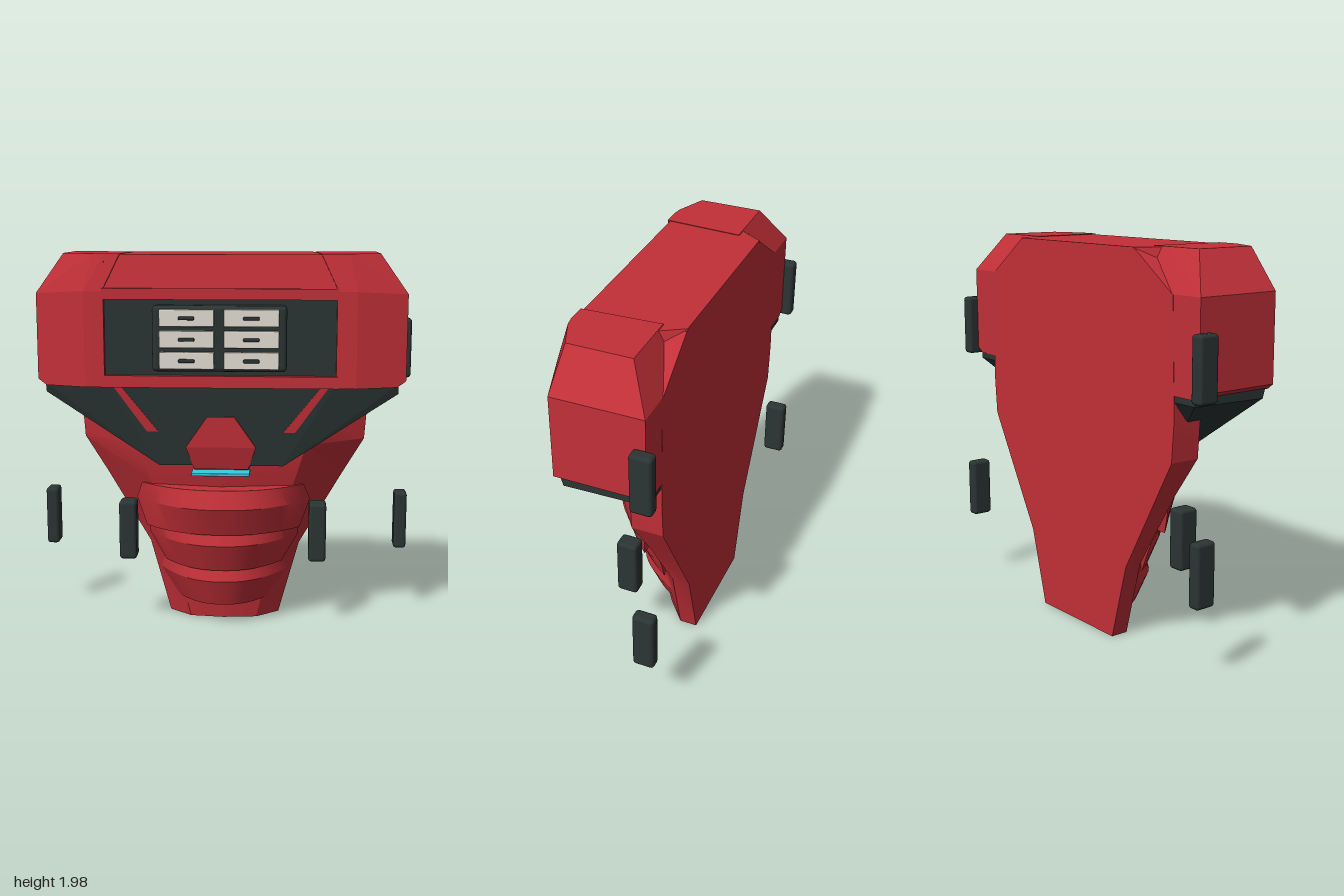
import * as THREE from 'three';
import { ConvexGeometry } from 'three/addons/geometries/ConvexGeometry.js';
import { RoundedBoxGeometry } from 'three/addons/geometries/RoundedBoxGeometry.js';
import { toCreasedNormals } from 'three/addons/utils/BufferGeometryUtils.js';

const material = (name, color) => {
  const m = new THREE.MeshStandardMaterial({ color });
  m.name = name;
  return m;
};

// Joins closed rings of [x, y, z] points, listed bottom to top, and caps both ends
function loft(rings) {
  const out = [];
  const n = rings[0].length;
  const tri = (a, b, c) => out.push(...a, ...b, ...c);
  for (let k = 0; k + 1 < rings.length; k++) {
    for (let i = 0; i < n; i++) {
      const j = (i + 1) % n;
      const a = rings[k][i], b = rings[k][j], c = rings[k + 1][j], d = rings[k + 1][i];
      tri(a, d, c);
      tri(a, c, b);
    }
  }
  const lo = rings[0], hi = rings[rings.length - 1];
  for (let i = 1; i + 1 < n; i++) {
    tri(lo[0], lo[i], lo[i + 1]);
    tri(hi[0], hi[i + 1], hi[i]);
  }
  const g = new THREE.BufferGeometry();
  g.setAttribute('position', new THREE.Float32BufferAttribute(out, 3));
  return toCreasedNormals(g, 0.35);
}

const hull = (pts) => new ConvexGeometry(pts.map((p) => new THREE.Vector3(...p)));
const mirrored = (pts) => pts.concat(pts.map(([x, y, z]) => [-x, y, z]));

export function createModel() {
  const model = new THREE.Group();
  model.name = 'armouredTorso';
  const red = material('red', 0xc23038);
  const dark = material('charcoal', 0x2b3434);
  const cream = material('cream', 0xe3ddd2);
  const cyan = material('cyan', 0x38cce2);

  const add = (name, geometry, mat) => {
    const mesh = new THREE.Mesh(geometry, mat);
    mesh.name = name;
    model.add(mesh);
    return mesh;
  };
  // Box given by its low and high corners, rounded when r is set
  const box = (name, mat, [x0, y0, z0], [x1, y1, z1], r = 0) => {
    const size = [x1 - x0, y1 - y0, z1 - z0];
    const g = r ? new RoundedBoxGeometry(...size, 2, r) : new THREE.BoxGeometry(...size);
    add(name, g, mat).position.set((x0 + x1) / 2, (y0 + y1) / 2, (z0 + z1) / 2);
  };

  // Tapering body: y, back half width, side depth, front half width, its z, centre z
  const body = [
    [0, 0.3, -0.2, 0.18, -0.1, -0.08],
    [0.4, 0.41, -0.2, 0.27, -0.06, 0.01],
    [0.8, 0.637, -0.17, 0.38, 0.04, 0.1],
    [1.0, 0.75, -0.13, 0.44, 0.09, 0.14],
    [1.2, 0.765, -0.13, 0.45, 0.09, 0.155],
    [1.78, 0.75, -0.13, 0.45, 0.12, 0.155],
    [1.97, 0.48, -0.13, 0.4, 0.12, 0.155],
  ];
  add('body', loft(body.map(([y, w, s, f, zf, zc]) => [
    [w, y, -0.293], [w, y, s], [f, y, zf], [0, y, zc], [-f, y, zf], [-w, y, s], [-w, y, -0.293],
  ])), red);

  // Curved belly bands: rows of y, half width, centre z, end z
  const bands = [
    [[0.53, 0.41, 0.16, -0.04], [0.68, 0.465, 0.225, -0.065], [0.775, 0.43, 0.19, 0.0]],
    [[0.32, 0.315, 0.1, -0.11], [0.47, 0.405, 0.165, -0.135], [0.565, 0.4, 0.13, -0.09]],
    [[0.115, 0.265, 0.05, -0.165], [0.26, 0.35, 0.11, -0.18], [0.355, 0.315, 0.075, -0.12]],
  ];
  for (const rows of bands) {
    add('bellyBand', loft(rows.map(([y, w, front, end]) =>
      Array.from({ length: 33 }, (_, i) => {
        const t = 1 - i / 16;
        return [w * t, y, front - (front - end) * Math.abs(t) ** 2.3];
      }))), red);
  }

  // Dark V-shaped collar under the chest
  add('chestCollar', hull(mirrored([
    [0.9, 1.33, -0.288], [0.9, 1.29, -0.288], [0.78, 1.2, -0.22], [0.78, 1.2, -0.13],
    [0.9, 1.33, 0.155], [0.9, 1.28, 0.14], [0.58, 1.33, 0.192],
    [0.32, 0.9, 0.145], [0.47, 1.0, 0.13], [0.32, 0.9, 0.125],
  ])), dark);

  // Red breastplate point on the collar
  add('breastPoint', hull(mirrored([
    [0.07, 1.16, 0.183], [0.18, 1.0, 0.173], [0.14, 0.88, 0.14],
    [0.07, 1.16, 0.1], [0.18, 1.0, 0.08], [0.14, 0.86, 0.08],
  ])), red);

  // Chest recess with its rails and sloping top block
  box('chestRecess', dark, [-0.59, 1.33, 0.1], [0.59, 1.82, 0.228]);
  box('upperRail', red, [-0.59, 1.76, 0.1], [0.59, 1.815, 0.261]);
  box('lowerRail', red, [-0.59, 1.32, 0.1], [0.59, 1.38, 0.261]);
  add('topBlock', hull(mirrored([
    [0.59, 1.8, 0.246], [0.54, 1.98, 0.205], [0.59, 1.8, -0.18], [0.54, 1.98, -0.18],
    [0.47, 1.98, -0.293], [0.47, 1.8, -0.293],
  ])), red);

  for (const s of [1, -1]) {
    const side = (pts) => hull(pts.map(([x, y, z]) => [s * x, y, z]));
    // Chamfered shoulder block and the sloping edge beside the top block
    add('shoulder', side([
      [0.58, 1.32, 0.258], [0.68, 1.32, 0.255], [0.58, 1.8, 0.258], [0.68, 1.8, 0.255],
      [0.58, 1.984, 0.218], [0.64, 1.984, 0.21], [0.795, 1.984, 0.145],
      [0.935, 1.35, 0.17], [0.935, 1.785, 0.17], [0.89, 1.32, 0.185],
      [0.935, 1.35, -0.293], [0.935, 1.785, -0.293], [0.89, 1.32, -0.293],
      [0.795, 1.984, -0.18], [0.58, 1.984, -0.18], [0.58, 1.785, -0.291], [0.58, 1.32, -0.291],
    ]), red);
    add('shoulderEdge', side([
      [0.58, 1.815, 0.255], [0.6, 1.815, 0.255], [0.5, 1.984, 0.217], [0.6, 1.984, 0.217],
      [0.58, 1.815, -0.27], [0.6, 1.815, -0.27], [0.48, 1.984, -0.18], [0.6, 1.984, -0.18],
    ]), red);
    // Slim red strip running down the collar
    add('collarStrip', side([
      [0.55, 1.32, 0.196], [0.51, 1.32, 0.196], [0.32, 1.08, 0.17], [0.38, 1.08, 0.17],
      [0.55, 1.32, 0.187], [0.51, 1.32, 0.187], [0.32, 1.08, 0.161], [0.38, 1.08, 0.161],
    ]), red);

    // Floating side pads and front pads
    const pad = (name, x, y, z, w) => {
      add(name, new RoundedBoxGeometry(w, 0.317, 0.112, 2, 0.018), dark).position.set(s * x, y, z);
    };
    pad('upperSidePad', 0.966, 1.472, -0.29, 0.068);
    pad('lowerSidePad', 0.966, 0.52, -0.29, 0.068);
    pad('frontPad', 0.504, 0.52, 0.002, 0.092);

    // Drawers with handles
    for (const y of [1.675, 1.57, 1.465]) {
      const x = s * 0.16;
      box('drawer', cream, [x - 0.136, y - 0.042, 0.29], [x + 0.136, y + 0.042, 0.333], 0.005);
      box('drawerHandle', dark, [x - 0.04, y - 0.009, 0.33], [x + 0.04, y + 0.009, 0.346], 0.006);
    }
  }

  // Drawer cabinet and glowing bar
  box('drawerCabinet', dark, [-0.334, 1.407, 0.19], [0.334, 1.733, 0.307], 0.02);
  box('lightBar', cyan, [-0.15, 0.857, 0.1], [0.15, 0.873, 0.215], 0.004);

  return model;
}
